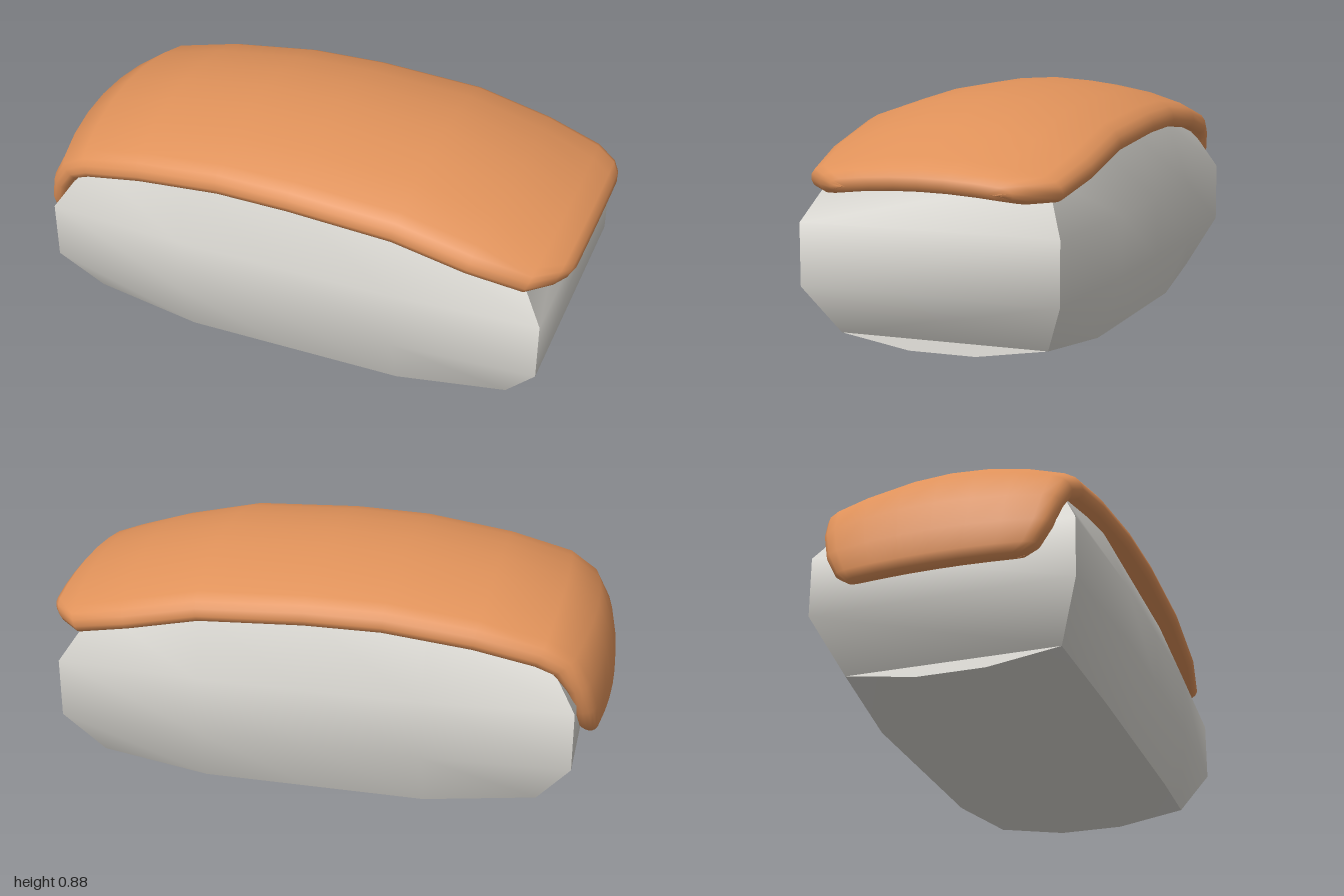
import * as THREE from 'three';
import { toCreasedNormals } from 'three/addons/utils/BufferGeometryUtils.js';

// Skin a series of closed rings running along +x; optionally close the ends.
function loft(rings, capped, crease) {
  const n = rings[0].length, index = [];
  for (let k = 0; k < rings.length - 1; k++) {
    for (let i = 0; i < n; i++) {
      const a = k * n + i, b = k * n + (i + 1) % n, c = a + n, d = b + n;
      index.push(a, c, b, c, d, b);
    }
  }
  if (capped) {
    const e = (rings.length - 1) * n;
    for (let i = 0; i < n / 2 - 1; i++) {
      const p = n - 1 - i, q = p - 1, j = i + 1;
      index.push(e + i, e + p, e + q, e + i, e + q, e + j);
      index.push(i, q, p, i, j, q);
    }
  }
  const geo = new THREE.BufferGeometry();
  geo.setAttribute('position', new THREE.Float32BufferAttribute(rings.flat(2), 3));
  geo.setIndex(index);
  return toCreasedNormals(geo, crease);
}

// Half outline [x, y, z] on the +z side, mirrored to a full ring.
const mirrorZ = half => [...half, ...half.slice().reverse().map(([x, y, z]) => [x, y, -z])];

function riceGeometry() {
  const middle = [[0, 0.1], [0.045, 0.405], [0.26, 0.488], [0.475, 0.488], [0.7, 0.405], [0.755, 0.1]];
  const end = [
    [0.8, 0.045, 0.12], [0.795, 0.085, 0.372], [0.917, 0.26, 0.458],
    [0.917, 0.475, 0.458], [0.8, 0.65, 0.372], [0.8, 0.69, 0.12],
  ];
  const cx = 0.013;
  const endRing = s => mirrorZ(end.map(([x, y, z]) => [cx + s * x, y, z]));
  const midRing = x => mirrorZ(middle.map(([y, z]) => [cx + x, y, z]));
  return loft([endRing(-1), midRing(-0.4), midRing(0), midRing(0.4), endRing(1)], true, 0.7);
}

function toppingGeometry() {
  // Stations along the slice: x, y, half width, half thickness, sideways droop
  const stations = [
    [-0.966, 0.33, 0.28, 0, 0.05],
    [-0.966, 0.34, 0.31, 0.024, 0.05],
    [-0.966, 0.37, 0.35, 0.034, 0.05],
    [-0.962, 0.45, 0.39, 0.037, 0.055],
    [-0.943, 0.55, 0.415, 0.04, 0.065],
    [-0.897, 0.655, 0.432, 0.044, 0.085],
    [-0.8, 0.727, 0.447, 0.045, 0.095],
    [-0.57, 0.787, 0.46, 0.045, 0.1],
    [-0.25, 0.83, 0.472, 0.045, 0.1],
    [0.03, 0.836, 0.48, 0.045, 0.1],
    [0.42, 0.815, 0.482, 0.045, 0.1],
    [0.7, 0.745, 0.477, 0.045, 0.095],
    [0.89, 0.67, 0.445, 0.044, 0.075],
    [0.96, 0.643, 0.37, 0.04, 0.06],
    [0.987, 0.632, 0.32, 0.025, 0.055],
    [0.998, 0.628, 0.27, 0, 0.05],
  ];
  // Rounded cross-section: fraction of width, fraction of thickness
  const quarter = [[1, 0], [0.985, 0.5], [0.95, 0.82], [0.87, 0.97], [0.6, 1], [0.3, 1], [0, 1]];
  const top = [...quarter, ...quarter.slice(0, -1).reverse().map(([f, t]) => [-f, t])];
  const section = [...top, ...top.slice(1, -1).reverse().map(([f, t]) => [f, -t])];
  const rings = stations.map(([x, y, w, h, droop], k) => {
    const p = stations[Math.max(k - 1, 0)], q = stations[Math.min(k + 1, stations.length - 1)];
    const len = Math.hypot(q[0] - p[0], q[1] - p[1]);
    const nx = -(q[1] - p[1]) / len, ny = (q[0] - p[0]) / len;
    return section.map(([f, t]) => {
      const z = f * w, lift = t * h - droop * (z / 0.48) ** 2;
      return [x + nx * lift, y + ny * lift, z];
    });
  });
  return loft(rings, false, 1.2);
}

export function createModel() {
  const riceWhite = new THREE.MeshStandardMaterial({ color: 0xdad8d2 });
  riceWhite.name = 'riceWhite';
  const fishOrange = new THREE.MeshStandardMaterial({ color: 0xe0925a });
  fishOrange.name = 'fishOrange';

  const group = new THREE.Group();
  group.name = 'sushi';
  const rice = new THREE.Mesh(riceGeometry(), riceWhite);
  rice.name = 'riceBlock';
  const topping = new THREE.Mesh(toppingGeometry(), fishOrange);
  topping.name = 'fishSlice';
  group.add(rice, topping);
  return group;
}
